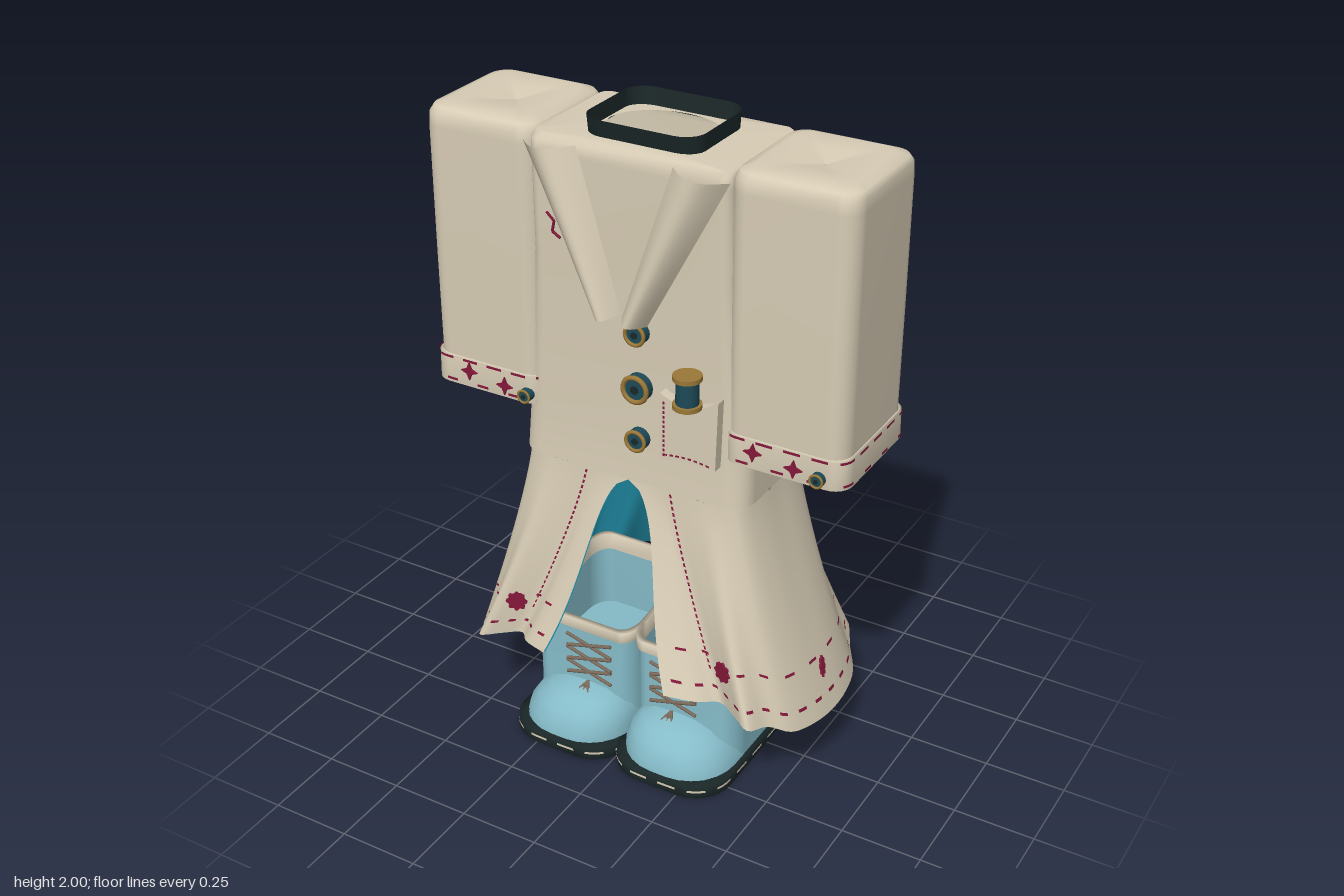
import * as THREE from 'three';
import { mergeGeometries } from 'three/addons/utils/BufferGeometryUtils.js';

const V = (x, y, z) => new THREE.Vector3(x, y, z);
const lerp = THREE.MathUtils.lerp;

function material(name, color, side = THREE.FrontSide) {
  const m = new THREE.MeshStandardMaterial({ color, side });
  m.name = name;
  return m;
}

// Rounded rectangle ring in the xz plane; y may be a number or a function of z
function ring(hx, hz, rx, rz, y, cx = 0, cz = 0) {
  const pts = [], n = 7;
  [[1, 1], [-1, 1], [-1, -1], [1, -1]].forEach(([sx, sz], q) => {
    for (let i = 0; i < n; i++) {
      const a = (q + i / (n - 1)) * Math.PI / 2;
      const x = sx * (hx - rx) + rx * Math.cos(a), z = sz * (hz - rz) + rz * Math.sin(a);
      pts.push(V(cx + x, typeof y === 'function' ? y(z) : y, cz + z));
    }
  });
  return pts;
}

// Skin a list of cross-sections
function loft(sections, closed = true) {
  const n = sections[0].length, index = [];
  const cols = closed ? n : n - 1;
  for (let i = 0; i < sections.length - 1; i++) {
    for (let j = 0; j < cols; j++) {
      const a = i * n + j, b = i * n + (j + 1) % n;
      index.push(a, a + n, b, b, a + n, b + n);
    }
  }
  const g = new THREE.BufferGeometry().setFromPoints(sections.flat());
  g.setIndex(index);
  g.computeVertexNormals();
  return g;
}

// Thin straight thread between two points
function thread(a, b, r) {
  const d = b.clone().sub(a);
  const g = new THREE.CylinderGeometry(r, r, d.length(), 6);
  g.applyQuaternion(new THREE.Quaternion().setFromUnitVectors(V(0, 1, 0), d.normalize()));
  return g.translate((a.x + b.x) / 2, (a.y + b.y) / 2, (a.z + b.z) / 2);
}

// Flat dashes along fn(t, k): t runs 0 to 1 along the line, k = -1 or 1 picks the edge
function stitches(fn, n, fill = 0.6) {
  const out = [];
  for (let i = 0; i < n; i++) {
    out.push(loft([1, -1].map((k) => [0, 1 / 3, 2 / 3, 1].map((s) => fn((i + s * fill) / n, k))), false));
  }
  return mergeGeometries(out);
}
function loopStitches(points, n, fill, halfWidth) {
  const loop = new THREE.CatmullRomCurve3(points, true);
  return stitches((t, k) => loop.getPointAt(t).add(V(0, k * halfWidth, 0)), n, fill);
}

// Skirt panel: u runs from the front slit round the side to the back slit, v runs down
const waistHalf = [
  V(0, .95, .205), V(.075, .95, .205), V(.14, .95, .205), V(.2, .95, .205), V(.26, .95, .205),
  V(.31, .95, .2), V(.35, .95, .18), V(.372, .95, .1), V(.375, .95, 0)];
const waist = new THREE.CatmullRomCurve3(
  [...waistHalf, ...waistHalf.slice(0, -1).reverse().map((p) => V(p.x, p.y, -p.z))]);
const hem = new THREE.CatmullRomCurve3([
  V(.21, .36, .365), V(.30, .345, .325), V(.35, .33, .275), V(.41, .32, .3), V(.47, .31, .33),
  V(.5, .29, .26), V(.55, .25, .2), V(.58, .23, .1), V(.59, .22, 0), V(.585, .22, -.1),
  V(.56, .222, -.2), V(.515, .25, -.27), V(.47, .305, -.33), V(.41, .32, -.3), V(.35, .33, -.275),
  V(.30, .345, -.325), V(.21, .36, -.365)]);

function skirtPoint(u, v, side = 1, offset = 0) {
  const a = waist.getPoint(u), b = hem.getPoint(u), f = Math.pow(v, 1.2);
  const edge = Math.max(0, 1 - Math.min(u, 1 - u) * 9);
  const p = V(lerp(a.x, b.x, f) + edge * .18 * Math.sqrt(v) * (1 - v) ** 2, lerp(a.y, b.y, v), lerp(a.z, b.z, f));
  if (offset) p.addScaledVector(skirtNormal(u, v), offset);
  p.x *= side;
  return p;
}
function skirtNormal(u, v) {
  const e = .01;
  const du = skirtPoint(u + e, v).sub(skirtPoint(u - e, v));
  const dv = skirtPoint(u, v + e * .5).sub(skirtPoint(u, Math.max(0, v - e)));
  return dv.cross(du).normalize();
}
function skirtPanel(side, shrink) {
  const rows = [];
  for (let i = 0; i <= 24; i++) {
    const row = [];
    for (let j = 0; j <= 64; j++) {
      const p = skirtPoint(j / 64, i / 24, side);
      row.push(V(p.x * shrink, p.y, p.z * shrink));
    }
    rows.push(side > 0 ? row : row.reverse());
  }
  return loft(rows, false);
}

export function createModel() {
  const model = new THREE.Group();
  model.name = 'coatAndBoots';
  const D = THREE.DoubleSide;
  const cream = material('cream cloth', 0xd7ccb5, D), blue = material('pale blue leather', 0x85bbc8, D);
  const teal = material('teal lining', 0x1f87a0, D), dark = material('dark rubber', 0x1b2728, D);
  const red = material('red thread', 0x84183a, D), gold = material('gold rim', 0x9a7838);
  const brown = material('brown lace', 0x7d6c5c), navy = material('deep teal', 0x1d4a58);
  const add = (name, geo, mat, parent = model) => {
    const m = new THREE.Mesh(geo, mat);
    m.name = name;
    parent.add(m);
    return m;
  };
  const button = (name, x, y, r) => {
    add(name, new THREE.CylinderGeometry(r, r, .03, 20).rotateX(Math.PI / 2).translate(x, y, .209), navy);
    add(name + 'Rim', new THREE.TorusGeometry(r * .9, r * .18, 8, 24).translate(x, y, .224), gold);
    add(name + 'Eye', new THREE.CylinderGeometry(r * .3, r * .3, .006, 10).rotateX(Math.PI / 2).translate(x, y, .226), dark);
  };

  // Torso with an open neck
  add('torso', loft([
    [.375, .205, .95, .07], [.368, .194, 1.1, .07], [.345, .194, 1.35, .06], [.318, .197, 1.6, .04],
    [.312, .204, 1.9, .03], [.312, .201, 1.932, .03], [.305, .185, 1.948, .03],
  ].map(([x, z, y, r]) => ring(x, z, r, r, y)).concat([ring(.172, .13, .172, .13, 1.95)])), cream);

  // Standing collar band
  add('collarBand', loft([ring(.178, .141, .065, .05, 1.943), ring(.18, .152, .065, .06, 2)]), dark);

  for (const s of [1, -1]) {
    const side = s > 0 ? 'left' : 'right';

    // Sleeve with a pinched top, and its cuff
    const sleeve = [
      [.184, .198, 1.1], [.185, .2, 1.5], [.185, .2, 1.9], [.183, .197, 1.935],
      [.174, .184, 1.953], [.14, .15, 1.965], [.07, .08, 1.958], [.002, .002, 1.943],
    ].map(([x, z, y]) => ring(x, z, x * .3, z * .3, y, s * .485));
    add(side + 'Sleeve', loft(sleeve), cream);
    add(side + 'Cuff', loft([[.185, 1.105], [.191, 1.105], [.19, 1.193], [.184, 1.196]]
      .map(([x, y]) => ring(x, x + .014, .055, .055, y, s * .487))), cream);
    for (const [y, n, fill] of [[1.119, 14, .35], [1.191, 18, .6]]) {
      add(side + 'CuffStitch', loopStitches(ring(.194, .208, .055, .055, y, s * .487), n, fill, .004), red);
    }

    // Rolled lapel
    const rows = [];
    for (let i = 0; i <= 8; i++) {
      const t = i / 8, row = [];
      for (let j = 0; j <= 12; j++) {
        const k = j / 12;
        row.push(V(s * lerp(lerp(.32, .08, t), lerp(.15, .003, t), k),
          lerp(lerp(1.93, 1.47, t), lerp(1.942, 1.488, t), k),
          .212 + .018 * t + .056 * Math.sin(Math.PI * k)));
      }
      rows.push(row);
    }
    add(side + 'Lapel', loft(rows, false), cream);

    // Skirt panel with its lining, dark on the left and teal on the right
    add(side + 'SkirtPanel', skirtPanel(s, 1), cream);
    add(side + 'SkirtLining', skirtPanel(s, .985), s > 0 ? dark : teal);

    // Skirt seams and sewn flowers
    for (const u of [.125, .875]) {
      add(side + 'SkirtSeam', stitches((t, k) => skirtPoint(u + k * .0035, .01 + t * .84, s, .003), 28), red);
    }
    add(side + 'HemStitch', stitches((t, k) => skirtPoint(.02 + t * .96, .92 + k * .007, s, .003), 20, .42), red);
    add(side + 'UpperHemStitch', stitches((t, k) => skirtPoint(.04 + t * .92, .76 + k * .006, s, .003), 13, .35), red);
    for (const [u, v, width] of [[.1875, .8, 1], [.5, .81, .4], [.8125, .8, 1]]) {
      const n = skirtNormal(u, v);
      n.x *= s;
      const flower = new THREE.Shape();
      for (let i = 0; i <= 48; i++) {
        const a = i / 48 * Math.PI * 2, q = .033 * (.9 + .12 * Math.cos(8 * a));
        flower[i ? 'lineTo' : 'moveTo'](q * Math.cos(a) * width, q * Math.sin(a));
      }
      const mesh = add(side + 'SewnFlower', new THREE.ExtrudeGeometry(flower, { depth: .007, bevelEnabled: false }), red);
      mesh.position.copy(skirtPoint(u, v, s, .001));
      mesh.quaternion.setFromUnitVectors(V(0, 0, 1), n);
    }

    // Boot shaft with a slanted opening, a raised insole and a domed toe cap
    const boot = new THREE.Group();
    boot.name = side + 'Boot';
    model.add(boot);
    const cx = s * .18, top = (z) => .383 - .125 * z;
    add('shaft', loft([ring(.179, .21, .06, .08, .035, cx), ring(.178, .203, .06, .08, .1, cx),
      ring(.177, .2, .05, .07, top, cx)]), blue, boot);
    const insole = new THREE.Shape(ring(.176, .2, .06, .08, 0).map((p) => new THREE.Vector2(p.x, p.z)));
    add('insole', new THREE.ShapeGeometry(insole).rotateX(-Math.PI / 2).translate(cx, .178, 0), blue, boot);
    add('toe', loft([[.181, .185, .035, 0], [.175, .18, .075, .003], [.155, .155, .117, .01], [.122, .12, .147, .016],
      [.078, .075, .166, .02], [.002, .002, .174, .02]]
      .map(([x, z, y, d]) => ring(x, z, x * .85, z * .85, y, cx - s * d, .163))), blue, boot);
    add('shaftCuff', loft([ring(.178, .2, .05, .07, (z) => top(z) - .005, cx), ring(.184, .207, .05, .07, top, cx),
      ring(.184, .207, .05, .07, (z) => top(z) + .035, cx), ring(.172, .193, .05, .07, (z) => top(z) + .037, cx),
      ring(.172, .193, .05, .07, (z) => top(z) - .02, cx)]), cream, boot);

    // Hollow sole rim and welt stitching
    const sole = (w, y) => ring(.19 - w, .2975 - w, .12 - w, .12 - w, y, cx, .0625);
    add('soleRim', loft([sole(.012, .036), sole(.012, 0), sole(0, 0), sole(0, .042), sole(.03, .042)]), dark, boot);
    add('weltStitch', loopStitches(sole(-.002, .025), 18, .6, .004), cream, boot);

    // Crossed laces with a small knot
    const laces = [], lx = s * .15;
    for (let i = 0; i < 3; i++) {
      const y = .185 + i * .05;
      laces.push(thread(V(lx - .08, y, .206), V(lx + .08, y + .045, .206), .0055),
        thread(V(lx + .08, y, .206), V(lx - .08, y + .045, .206), .0055));
    }
    for (const d of [-.018, 0, .018]) laces.push(thread(V(lx, .178, .212), V(lx + d, .158, .245), .0045));
    add('laces', mergeGeometries(laces), brown, boot);
  }

  // Front buttons
  [[1.43, .033], [1.26, .042], [1.095, .033]].forEach(([y, r]) => button('coatButton', .035, y, r));

  // Cuff ornaments: two crosses and a button on each sleeve
  for (const dx of [0, -.945]) {
    for (const [x, y] of [[.4, 1.157], [.525, 1.142]]) {
      const star = new THREE.Shape();
      for (let i = 0; i < 8; i++) {
        const a = i * Math.PI / 4, r = i % 2 ? .012 : .029;
        star[i ? 'lineTo' : 'moveTo'](r * Math.cos(a), r * Math.sin(a));
      }
      add('cuffCross', new THREE.ExtrudeGeometry(star, { depth: .007, bevelEnabled: false }).translate(x + dx, y, .204), red);
    }
    button('cuffButton', .602 + dx, 1.135, .021);
  }

  // Mended tear on the right lapel
  const tear = [V(-.21, 1.76, .269), V(-.185, 1.74, .272), V(-.19, 1.71, .274), V(-.165, 1.695, .274)];
  add('lapelMend', mergeGeometries(tear.slice(1).map((p, i) => thread(tear[i], p, .004))), red);

  // Patch pocket with a sagging top, stitched at the left and bottom
  const pocket = new THREE.Shape();
  pocket.moveTo(.115, 1.06);
  pocket.quadraticCurveTo(.2, 1.085, .295, 1.075);
  pocket.lineTo(.302, 1.29);
  pocket.quadraticCurveTo(.21, 1.225, .118, 1.275);
  add('pocket', new THREE.ExtrudeGeometry(pocket, { depth: .032, bevelEnabled: false, curveSegments: 10 })
    .translate(0, 0, .194), cream);
  add('pocketStitch', mergeGeometries([
    stitches((t, k) => V(.131 - k * .003, 1.078 + t * .18, .228), 12),
    stitches((t, k) => V(.13 + t * .155, 1.083 + .008 * Math.sin(t * Math.PI) + k * .003, .228), 8)]), red);

  // Thread spool above the pocket
  const spool = (r, h, y) => new THREE.CylinderGeometry(r, r, h, 18).translate(.212, y, .238);
  add('spoolThread', spool(.033, .09, 1.31), navy);
  add('spoolEnds', mergeGeometries([spool(.042, .014, 1.355), spool(.042, .014, 1.268)]), gold);

  return model;
}
